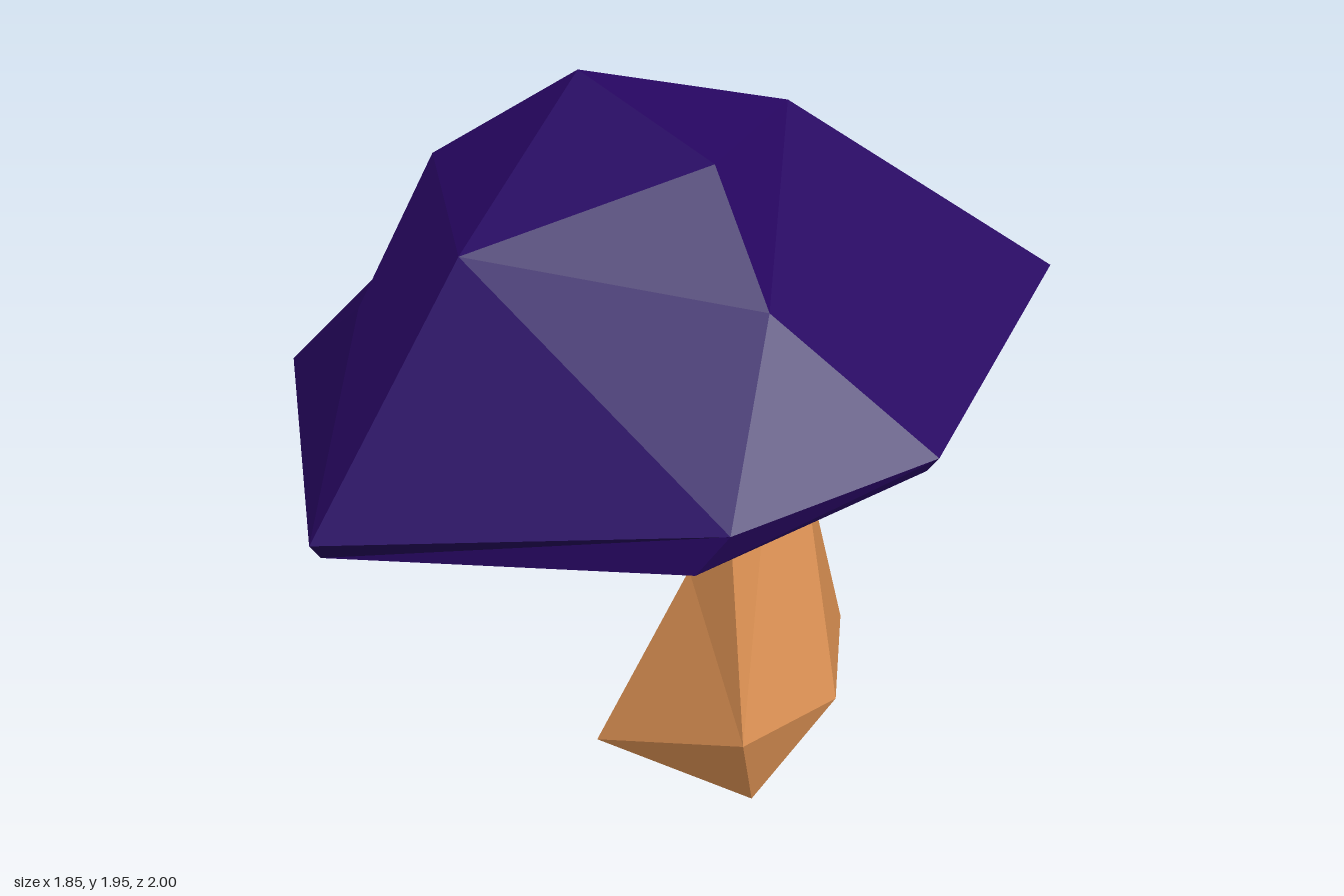
import * as THREE from 'three';

// Facets are named corners, listed counter-clockwise from outside and fanned into triangles.
function facetMesh(name, points, faces, material) {
  const pos = [];
  for (const face of faces) {
    const c = face.split(' ').map((k) => points[k]);
    for (let i = 1; i < c.length - 1; i++) pos.push(...c[0], ...c[i], ...c[i + 1]);
  }
  const geometry = new THREE.BufferGeometry();
  geometry.setAttribute('position', new THREE.Float32BufferAttribute(pos, 3));
  geometry.computeVertexNormals();
  const mesh = new THREE.Mesh(geometry, material);
  mesh.name = name;
  return mesh;
}

function flatMaterial(name, color) {
  const m = new THREE.MeshStandardMaterial({ color, flatShading: true });
  m.name = name;
  return m;
}

export function createModel() {
  const group = new THREE.Group();
  group.name = 'mushroom';
  const purple = flatMaterial('deep purple', 0x270662);
  const tan = flatMaterial('warm tan', 0xdc9153);

  // Cap: crown (A-T) over hollow (a-t), wide rim (R) over the hem below it (L)
  const cap = {
    T: [-0.16, 1.95, 0.04], A: [0.28, 1.88, 0.15], B: [0.2, 1.83, -0.31],
    C: [0.51, 1.65, 0.29], D: [-0.15, 1.69, 0.52], E: [-0.51, 1.69, 0.16],
    F: [-0.51, 1.41, 0.47], G: [-0.57, 1.54, -0.22], H: [-0.12, 1.65, -0.46],
    t: [-0.13, 1.76, 0.03], a: [0.1, 1.6, 0.1], b: [0.26, 1.4, -0.3],
    c: [0.3, 1.3, 0.2], d: [-0.13, 1.56, 0.42], e: [-0.42, 1.58, 0.12],
    f: [-0.44, 1.42, 0.37], g: [-0.48, 1.44, -0.18], h: [-0.1, 1.52, -0.4],
    R0: [-0.14, 1.26, -1.0], R1: [0.82, 1.47, -0.53], R2: [0.925, 1.42, 0.27],
    R3: [0.67, 1.38, 0.7], R4: [-0.23, 1.16, 1.0], R5: [-0.88, 1.065, 0.34],
    R6: [-0.925, 1.06, -0.29],
    L0: [-0.15, 1.14, -0.93], L1: [0.78, 1.35, -0.5], L2: [0.89, 1.36, 0.25],
    L3: [0.6, 1.26, 0.72], L4: [-0.29, 1.04, 0.91], L5: [-0.85, 0.94, 0.2],
    L6: [-0.88, 0.97, -0.35],
  };
  const crown = [
    'T D A', 'T E D', 'T A B', 'T G E', 'T H G', 'T B H',
    'A D C', 'A C B', 'B C R1', 'C R2 R1', 'C R3 R2', 'D R3 C', 'D R4 R3',
    'E F D', 'F R4 D', 'F R5 R4', 'G R6 R5 F', 'G F E',
    'H R0 G', 'R0 R6 G', 'B R0 H', 'B R1 R0',
  ];
  // The hollow repeats the crown's facets, turned to face down
  const hollow = crown.map((face) => face.split(' ').reverse()
    .map((k) => (k[0] === 'R' ? 'L' + k[1] : k.toLowerCase())).join(' '));
  const hem = [];
  for (let i = 0; i < 7; i++) {
    const j = (i + 1) % 7;
    hem.push(`L${j} L${i} R${i} R${j}`);
  }
  group.add(facetMesh('capTop', cap, [...crown, ...hem], purple));
  group.add(facetMesh('capUnderside', cap, hollow, purple));

  // Stem: base (a-d), bulge (m), pinched neck (n), hooked top (q, p) set into the hollow
  const stem = {
    a: [0, 0.08, 0.24], b: [0.43, 0, 0.13], c: [0.37, 0, -0.24], d: [0.04, 0.04, -0.25],
    m1: [0.465, 0.31, 0.25], m2: [0.585, 0.33, -0.02], m3: [0.43, 0.32, -0.33], m4: [-0.02, 0.28, -0.26],
    n1: [0.225, 0.71, 0.14], n2: [0.18, 0.69, -0.17],
    q1: [0.02, 1.41, 0.05], q2: [-0.02, 1.41, -0.12],
    p1: [0.3, 1.37, -0.15], p2: [0.25, 1.37, 0.06], p3: [0.04, 1.58, -0.15],
    p4: [-0.25, 1.61, 0], p5: [0.25, 1.38, -0.16],
  };
  const stemFaces = [
    'd c b a', 'a b m1', 'b m2 m1', 'c m3 m2 b', 'd m4 m3 c', 'd a m4',
    'm1 m2 p1 p2', 'm2 m3 p5 p1', 'm3 m4 n2', 'n2 q2 p3 p5 m3',
    'n2 n1 q1 q2', 'n1 m1 p2 q1', 'a m1 n1', 'm4 a n1 n2',
    'q2 q1 p4', 'q1 p2 p4', 'q2 p4 p3', 'p2 p1 p5 p3 p4',
  ];
  group.add(facetMesh('stem', stem, stemFaces, tan));

  return group;
}
